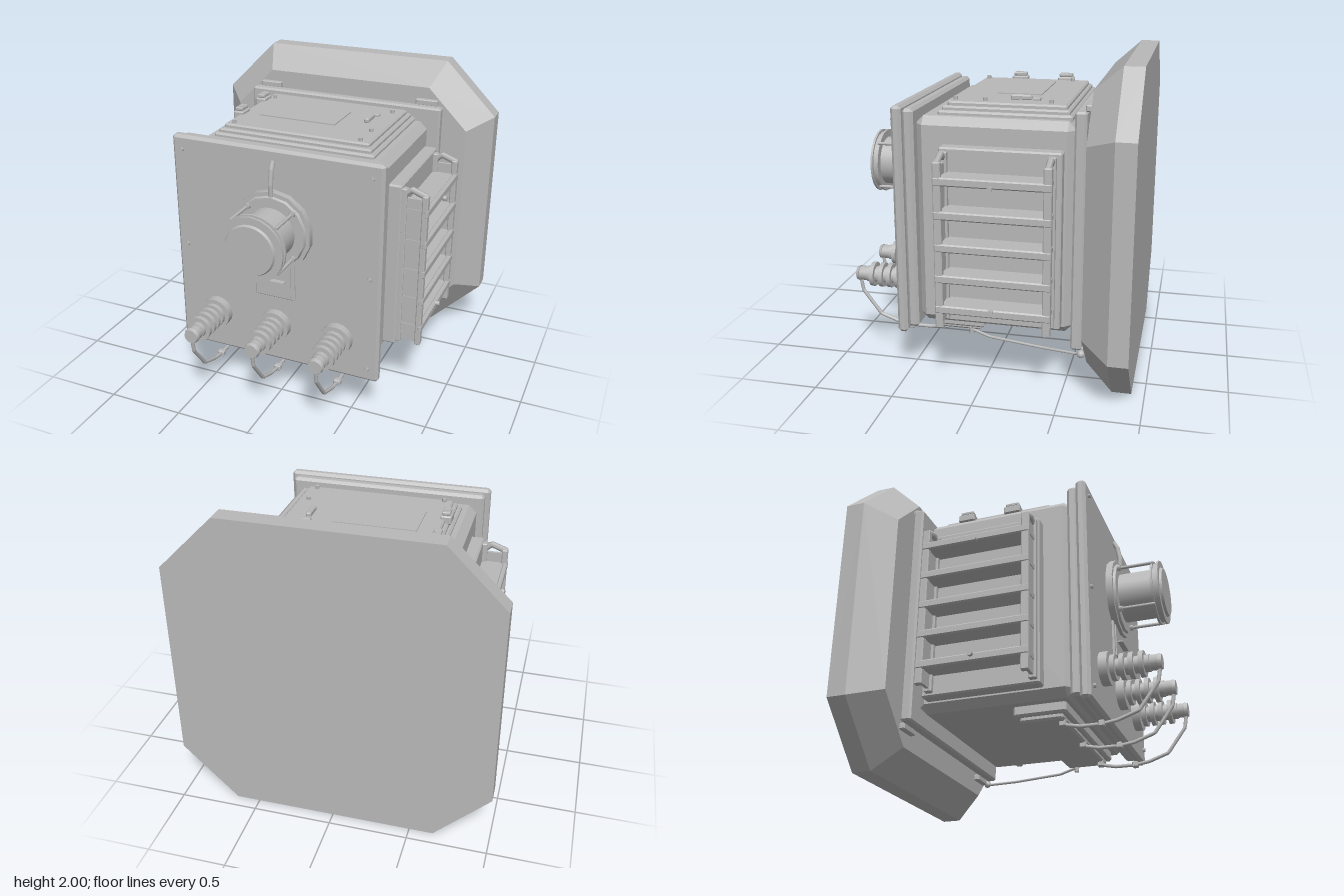
import * as THREE from 'three';
import { ConvexGeometry } from 'three/addons/geometries/ConvexGeometry.js';

const grey = new THREE.MeshStandardMaterial({ color: 0xb8b8b8 });
grey.name = 'paintedMetal';

export function createModel() {
  const root = new THREE.Group();
  root.name = 'instrumentHousing';

  const add = (name, geometry, parent = root) => {
    const mesh = new THREE.Mesh(geometry, grey);
    mesh.name = name;
    parent.add(mesh);
    return mesh;
  };
  const group = (name) => {
    const g = new THREE.Group();
    g.name = name;
    root.add(g);
    return g;
  };

  // Box given by its min and max on each axis, with optional chamfer c
  const box = (name, [x0, x1], [y0, y1], [z0, z1], c = 0, parent = root) => {
    const w = x1 - x0, h = y1 - y0, d = z1 - z0;
    let g;
    if (c) {
      const pts = [];
      for (const x of [-1, 1]) for (const y of [-1, 1]) for (const z of [-1, 1]) {
        for (let k = 0; k < 3; k++) {
          const inset = [c, c, c];
          inset[k] = 0;
          pts.push(new THREE.Vector3(
            x * (w / 2 - inset[0]), y * (h / 2 - inset[1]), z * (d / 2 - inset[2])));
        }
      }
      g = new ConvexGeometry(pts);
    } else g = new THREE.BoxGeometry(w, h, d);
    const m = add(name, g, parent);
    m.position.set((x0 + x1) / 2, (y0 + y1) / 2, (z0 + z1) / 2);
    return m;
  };

  // Cylinder along an axis, centred at x, y, z
  const cyl = (name, axis, r, len, [x, y, z], sides = 24, parent = root, rTip = r) => {
    const g = new THREE.CylinderGeometry(rTip, r, len, sides);
    if (axis === 'z') g.rotateX(Math.PI / 2);
    if (axis === 'x') g.rotateZ(-Math.PI / 2);
    const m = add(name, g, parent);
    m.position.set(x, y, z);
    return m;
  };

  const tube = (name, pts, r, parent = root, sides = 8) => {
    const path = new THREE.CurvePath();
    const v = pts.map((p) => new THREE.Vector3(...p));
    for (let i = 1; i < v.length; i++) path.add(new THREE.LineCurve3(v[i - 1], v[i]));
    return add(name, new THREE.TubeGeometry(path, v.length * 8, r, sides), parent);
  };

  // Octagonal back shield with a tapered front
  const shield = [];
  for (const [a, b, z] of [[1, 0.65, -0.92], [1, 0.65, -0.80], [0.85, 0.58, -0.63]]) {
    for (const sx of [-1, 1]) for (const sy of [-1, 1]) {
      shield.push(new THREE.Vector3(sx * a, 1 + sy * b, z), new THREE.Vector3(sx * b, 1 + sy * a, z));
    }
  }
  add('backShield', new ConvexGeometry(shield));

  // Main housing, rear panel and front panel
  box('housing', [-0.62, 0.62], [0.34, 1.66], [-0.54, 0.44], 0.05);
  box('rearPanel', [-0.69, 0.69], [0.275, 1.74], [-0.61, -0.54], 0.012);
  box('rearNeck', [-0.6, 0.6], [0.36, 1.66], [-0.635, -0.6]);
  box('frontFrame', [-0.66, 0.66], [0.31, 1.71], [0.43, 0.50], 0.018);
  box('frontPanel', [-0.69, 0.69], [0.28, 1.73], [0.495, 0.56], 0.018);
  for (const s of [-1, 1]) {
    for (const [y0, y1] of [[0.24, 0.28], [1.735, 1.775]]) {
      box('mountBlock', [s * 0.575 - 0.075, s * 0.575 + 0.075], [y0, y1], [-0.635, -0.595], 0.006);
    }
    for (const y of [0.37, 1.0, 1.64]) cyl('panelBolt', 'z', 0.014, 0.02, [s * 0.62, y, 0.567], 6);
  }

  // Top hatch with display, hinges, latch and bolts
  const hatch = group('topHatch');
  box('hatchBase', [-0.535, 0.535], [1.64, 1.685], [-0.505, 0.315], 0.012, hatch);
  box('hatchFrame', [-0.51, 0.51], [1.67, 1.71], [-0.485, 0.295], 0.01, hatch);
  box('hatchDoor', [-0.485, 0.485], [1.70, 1.735], [-0.465, 0.265], 0.01, hatch);
  box('displayPlate', [-0.355, 0.17], [1.733, 1.742], [-0.255, 0.03], 0, hatch);
  for (const z of [-0.305, 0.015]) {
    box('hingeLeaf', [-0.525, -0.455], [1.70, 1.755], [z - 0.055, z + 0.055], 0.008, hatch);
    cyl('hingePin', 'y', 0.02, 0.03, [-0.49, 1.765, z], 10, hatch);
    box('hingeCap', [-0.515, -0.465], [1.755, 1.778], [z - 0.045, z + 0.045], 0.005, hatch);
  }
  box('latchPlate', [0.305, 0.365], [1.73, 1.75], [-0.28, -0.24], 0.004, hatch);
  box('latchHandle', [0.318, 0.35], [1.73, 1.765], [-0.225, -0.095], 0.008, hatch);
  for (const [x, z] of [[-0.43, -0.36], [0.42, -0.36], [-0.43, 0.23], [0.42, 0.23], [0.42, 0.045]]) {
    cyl('hatchBolt', 'y', 0.014, 0.025, [x, 1.743, z], 8, hatch);
  }

  // Louvred cages on both sides
  for (const s of [-1, 1]) {
    const cage = group(s > 0 ? 'leftCage' : 'rightCage');
    const span = (a, b) => (s > 0 ? [a, b] : [-b, -a]);
    box('cageBase', span(0.60, 0.70), [0.40, 1.50], [-0.475, 0.265], 0.01, cage);
    for (const z of [-0.42, 0.23]) {
      box('endPlate', span(0.69, 0.84), [0.44, 1.42], [z - 0.01, z + 0.01], 0, cage);
      box('uprightBar', span(0.825, 0.862), [0.42, 1.45], [z - 0.024, z + 0.024], 0.006, cage);
      tube('topArm', [[s * 0.69, 1.42, z], [s * 0.755, 1.475, z], [s * 0.85, 1.44, z]], 0.02, cage, 6);
      box('footRail', span(0.69, 0.73), [0.42, 1.48], [z - 0.024, z + 0.024], 0.006, cage);
    }
    for (const y of [0.54, 0.735, 0.93, 1.13, 1.335]) {
      box('shelf', span(0.69, 0.85), [y - 0.012, y + 0.02], [-0.435, 0.245], 0, cage);
      box('shelfLip', span(0.835, 0.866), [y - 0.026, y + 0.026], [-0.445, 0.255], 0.008, cage);
    }
    for (const y of [0.555, 1.315]) cyl('cageScrew', 'x', 0.016, 0.03, [s * 0.873, y, -0.09], 8, cage);
  }

  // Central lens barrel with flanges and tie rods
  const lens = group('lensAssembly');
  const cy = 1.22;
  cyl('mountFlange', 'z', 0.258, 0.045, [0, cy, 0.58], 14, lens);
  cyl('mountRing', 'z', 0.235, 0.02, [0, cy, 0.608], 14, lens, 0.225);
  cyl('barrel', 'z', 0.16, 0.25, [0, cy, 0.725], 28, lens);
  cyl('endFlange', 'z', 0.195, 0.05, [0, cy, 0.862], 20, lens);
  for (const z of [0.843, 0.88]) cyl('flangeRim', 'z', 0.21, 0.014, [0, cy, z], 20, lens);
  cyl('lensCap', 'z', 0.165, 0.02, [0, cy, 0.893], 28, lens, 0.155);
  for (const sx of [-1, 1]) for (const sy of [-1, 1]) {
    cyl('tieRod', 'z', 0.011, 0.24, [sx * 0.148, cy + sy * 0.148, 0.73], 8, lens);
    cyl('tieNut', 'z', 0.02, 0.025, [sx * 0.148, cy + sy * 0.148, 0.628], 6, lens);
  }
  tube('liftLever', [[0, 1.44, 0.6], [0, 1.52, 0.605], [0, 1.61, 0.59], [0, 1.66, 0.565]], 0.016, lens);
  box('labelPlate', [-0.135, 0.135], [0.75, 1.02], [0.555, 0.575], 0.006, lens);
  box('labelInset', [-0.11, 0.11], [0.77, 1.0], [0.57, 0.581], 0, lens);
  box('labelLip', [-0.08, 0.08], [0.874, 0.882], [0.57, 0.615], 0, lens);

  // Ribbed connectors with hanging cables
  for (const x of [-0.42, 0, 0.42]) {
    const con = group('connector');
    cyl('connectorFlange', 'z', 0.103, 0.055, [x, 0.55, 0.585], 16, con);
    cyl('connectorCore', 'z', 0.052, 0.26, [x, 0.55, 0.72], 16, con);
    for (const z of [0.635, 0.69, 0.745, 0.805]) cyl('connectorRib', 'z', 0.08, 0.028, [x, 0.55, z], 16, con);
    cyl('connectorTip', 'z', 0.047, 0.08, [x, 0.55, 0.865], 12, con);
    cyl('connectorCap', 'z', 0.052, 0.02, [x, 0.55, 0.91], 12, con, 0.045);
    tube('cable', [[x, 0.52, 0.905], [x, 0.43, 0.89], [x, 0.27, 0.77], [x, 0.225, 0.64],
      [x, 0.212, 0.55], [x, 0.212, 0.42], [x, 0.235, 0.31]], 0.012, con);
    box('cableFerrule', [x - 0.023, x + 0.023], [0.193, 0.232], [0.53, 0.568], 0.006, con);
    box('cableClamp', [x - 0.022, x + 0.022], [0.22, 0.27], [0.295, 0.335], 0.006, con);
  }

  // Underside tray and earth cable to the rear
  box('bottomTray', [-0.52, 0.52], [0.28, 0.36], [0.04, 0.365], 0.012);
  box('trayFoot', [-0.49, 0.49], [0.25, 0.29], [0.07, 0.335], 0.012);
  cyl('cableStud', 'y', 0.016, 0.04, [0.48, 0.24, 0.13], 8);
  tube('earthCable', [[0.48, 0.25, 0.13], [0.52, 0.227, 0], [0.6, 0.228, -0.35],
    [0.67, 0.245, -0.58], [0.70, 0.26, -0.61]], 0.009);
  const lug = add('cableLug', new THREE.SphereGeometry(0.025, 12, 8));
  lug.position.set(0.7, 0.26, -0.61);

  return root;
}
